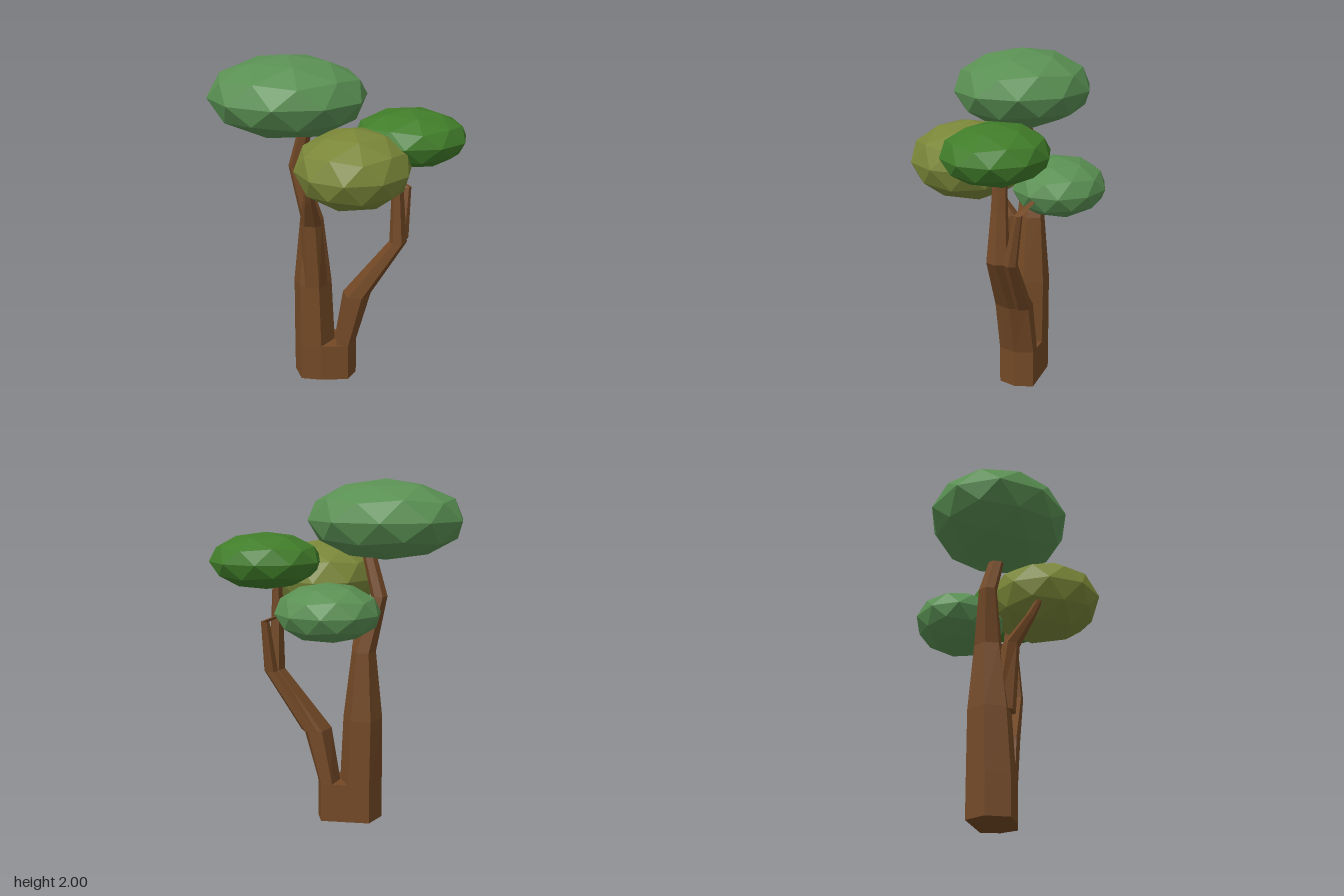
import * as THREE from 'three';
import { ConvexGeometry } from 'three/addons/geometries/ConvexGeometry.js';

const SIDES = 6;

function flat(color) {
  return new THREE.MeshStandardMaterial({ color, flatShading: true });
}

// Limb through hexagonal sections: [x, y, z, half width, corner radius in z]
function limbGeometry(sections) {
  const n = sections.length - 1;
  const geo = new THREE.CylinderGeometry(1, 1, 1, SIDES, n);
  geo.rotateY(Math.PI / 2);
  const p = geo.attributes.position;
  for (let i = 0; i < p.count; i++) {
    const [x, y, z, rx, rz] = sections[Math.round((p.getY(i) + 0.5) * n)];
    p.setXYZ(i, x + p.getX(i) * rx, y, z + p.getZ(i) * rz);
  }
  geo.computeVertexNormals();
  return geo;
}

// Corners of one hexagonal section, moved to height y
function ringPoints([x, , z, rx, rz], y) {
  return Array.from({ length: SIDES }, (_, i) => {
    const a = (i / SIDES) * Math.PI * 2;
    return new THREE.Vector3(x + Math.cos(a) * rx, y, z + Math.sin(a) * rz);
  });
}

// Faceted ellipsoid with a vertex at its top
function crownGeometry([x, y, z], [rx, ry, rz]) {
  const geo = new THREE.IcosahedronGeometry(1, 1);
  geo.rotateZ(-Math.atan(2 / (1 + Math.sqrt(5))));
  geo.scale(rx, ry, rz);
  geo.translate(x, y, z);
  geo.computeVertexNormals();
  return geo;
}

export function createModel() {
  const tree = new THREE.Group();
  tree.name = 'tree';
  const bark = flat(0x734926);

  const add = (name, geometry, material) => {
    const mesh = new THREE.Mesh(geometry, material);
    mesh.name = name;
    tree.add(mesh);
  };

  const limbs = {
    rightLimb: [
      [-0.155, 0.23, -0.04, 0.125, 0.144],
      [-0.165, 0.62, -0.05, 0.115, 0.13],
      [-0.17, 1.02, -0.06, 0.07, 0.085],
      [-0.255, 1.34, -0.04, 0.047, 0.055],
      [-0.185, 1.6, 0, 0.04, 0.045],
    ],
    frontBranch: [
      [-0.14, 0.62, 0.01, 0.075, 0.087],
      [-0.15, 1.02, 0.07, 0.065, 0.05],
      [-0.14, 1.2, 0.185, 0.035, 0.03],
      [-0.13, 1.33, 0.25, 0.02, 0.02],
    ],
    leftLimb: [
      [0.035, 0.23, -0.057, 0.067, 0.124],
      [0.105, 0.55, -0.055, 0.085, 0.118],
      [0.35, 0.9, -0.05, 0.052, 0.07],
      [0.34, 1.2, -0.055, 0.036, 0.05],
      [0.335, 1.45, -0.06, 0.028, 0.04],
    ],
    backBranch: [
      [0.13, 0.55, -0.115, 0.06, 0.06],
      [0.365, 0.9, -0.13, 0.04, 0.04],
      [0.385, 1.2, -0.18, 0.025, 0.025],
      [0.17, 1.3, -0.27, 0.01, 0.01],
    ],
  };

  // Trunk foot joins the two limbs
  const foot = [limbs.rightLimb[0], limbs.leftLimb[0]];
  add('trunk', new ConvexGeometry(foot.flatMap((s) => [...ringPoints(s, 0), ...ringPoints(s, 0.23)])), bark);

  for (const [name, sections] of Object.entries(limbs)) add(name, limbGeometry(sections), bark);

  // Foliage: name, centre, radii, color
  const crowns = [
    ['topCrown', [-0.283, 1.77, 0.033], [0.457, 0.23, 0.406], 0x5a9053],
    ['leftCrown', [0.4, 1.535, -0.06], [0.331, 0.165, 0.297], 0x417d2a],
    ['frontCrown', [0.115, 1.415, 0.207], [0.331, 0.225, 0.348], 0x7a8638],
    ['backCrown', [0.005, 1.277, -0.29], [0.3, 0.167, 0.268], 0x5a9053],
  ];
  for (const [name, centre, radii, color] of crowns) add(name, crownGeometry(centre, radii), flat(color));

  return tree;
}
